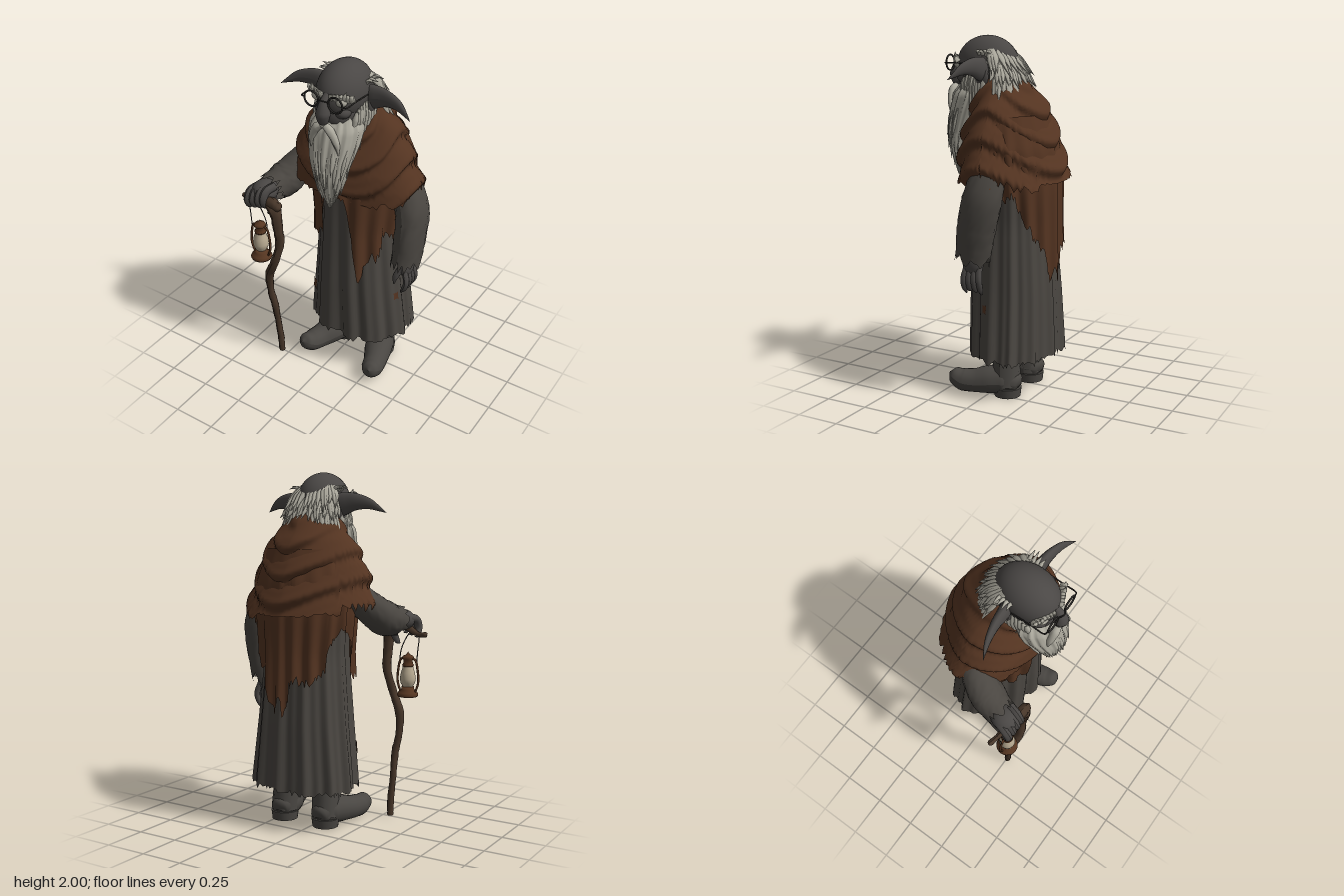
import * as THREE from 'three';

const mat = (name, color, side = THREE.FrontSide) => {
  const m = new THREE.MeshStandardMaterial({ color, side });
  m.name = name;
  return m;
};
const rnd = (i) => { const s = Math.sin(i * 127.1 + 11.7) * 43758.5453; return s - Math.floor(s); };
const lerpTable = (t, k) => {
  // rows sorted by first entry; returns the remaining entries at k
  let i = 0;
  while (i < t.length - 2 && k > t[i + 1][0]) i++;
  const f = Math.min(1, Math.max(0, (k - t[i][0]) / (t[i + 1][0] - t[i][0])));
  return t[i].map((v, j) => v + (t[i + 1][j] - v) * f).slice(1);
};

export function createModel() {
  const D = THREE.DoubleSide;
  const robeM = mat('robe cloth', 0x4a4641, D), shawlM = mat('shawl cloth', 0x543421, D);
  const skinM = mat('skin', 0x4a4745), hairM = mat('grey hair', 0xadaa9e, D);
  const bootM = mat('boot leather', 0x494642), woodM = mat('wood', 0x473629);
  const metalM = mat('rusty metal', 0x563621), glassM = mat('lantern glass', 0xb9ab92);
  const rimM = mat('spectacle wire', 0x2b2927);
  const root = new THREE.Group();
  root.name = 'oldWanderer';

  const add = (name, geo, m, pos = [0, 0, 0], scale = [1, 1, 1], parent = root) => {
    const mesh = new THREE.Mesh(geo, m);
    mesh.name = name;
    mesh.position.set(...pos);
    mesh.scale.set(...scale);
    parent.add(mesh);
    return mesh;
  };
  const ball = (name, m, pos, r) => add(name, new THREE.SphereGeometry(1, 28, 20), m, pos, r);

  // Draped sheet: u runs round the body from the front, v runs from top to hem
  const sheet = (name, m, nu, nv, fn, a0 = -Math.PI, a1 = Math.PI) => {
    const p = [], idx = [], closed = a1 - a0 > 6.28;
    for (let j = 0; j <= nv; j++) for (let i = 0; i <= nu; i++) {
      p.push(...fn(a0 + (a1 - a0) * i / nu, j / nv, closed ? i % nu : i));
    }
    for (let j = 0; j < nv; j++) for (let i = 0; i < nu; i++) {
      const a = j * (nu + 1) + i, c = closed && i === nu - 1 ? j * (nu + 1) : a + 1;
      idx.push(a, a + nu + 1, c, c, a + nu + 1, c + nu + 1);
    }
    const g = new THREE.BufferGeometry();
    g.setAttribute('position', new THREE.Float32BufferAttribute(p, 3));
    g.setIndex(idx);
    g.computeVertexNormals();
    return add(name, g, m);
  };
  // Point on a section table row [-y, centreX, halfWidth, zFront, zBack]; wedge > 1 makes the back
  // pointed, and widest (0 back, 1 front) tells where the section is widest
  const onSection = (table, y, a, grow = 0, wedge = 1, widest = 0.4) => {
    const [cx, hx, zf, zb] = lerpTable(table, -y);
    const s = Math.sin(a), c = Math.cos(a), mid = zf * widest + zb * (1 - widest), e = c < 0 ? wedge : 1;
    return [cx + (hx + grow) * Math.sign(s) * Math.abs(s) ** e, y,
      mid + (c > 0 ? zf - mid + grow : mid - zb + grow) * Math.sign(c) * Math.abs(c) ** e];
  };

  // Limb: tapered tube through [x, y, z, radius]; sc squashes the section, torn frays the last ring
  const limb = (name, m, pts, { seg = 20, rad = 12, sc = [1, 1, 1], torn = 0, floor = -9, lumps = 0, parent = root } = {}) => {
    const curve = new THREE.CatmullRomCurve3(pts.map((p) => new THREE.Vector3(...p)));
    curve.getPointAt = curve.getPoint;
    curve.getTangentAt = curve.getTangent;
    const g = new THREE.TubeGeometry(curve, seg, 1, rad), P = g.attributes.position;
    const radii = pts.map((p, i) => [i / (pts.length - 1), p[3]]), S = new THREE.Vector3(...sc);
    for (let j = 0; j <= seg; j++) {
      const c = curve.getPoint(j / seg), t = curve.getTangent(j / seg), r = lerpTable(radii, j / seg)[0];
      for (let i = 0; i <= rad; i++) {
        const k = j * (rad + 1) + i, v = new THREE.Vector3().fromBufferAttribute(P, k).sub(c);
        v.multiply(S).multiplyScalar(r * (1 + lumps * (rnd(j * 31 + i % rad) - 0.5))).add(c);
        if (j === seg) v.addScaledVector(t, torn * (rnd(i % rad * 7 + 3) - 0.4));
        P.setXYZ(k, v.x, Math.max(v.y, floor), v.z);
      }
    }
    g.computeVertexNormals();
    return add(name, g, m, [0, 0, 0], [1, 1, 1], parent);
  };

  // Robe with pleats, a front parting and a frayed hem
  const robeT = [[-1.72, .07, .1, .08, -.12], [-1.6, .07, .2, .12, -.22], [-1.4, .07, .25, .15, -.28],
    [-1, .07, .235, .165, -.28], [-.6, .07, .27, .175, -.31], [-.24, .07, .31, .17, -.325]];
  const robeAt = (a, v, drop, lift) => {
    const split = -0.045 * v * Math.exp(-((a / 0.1) ** 2));
    return onSection(robeT, 1.72 - 1.47 * v - drop, a, lift + v * 0.012 * (Math.sin(a * 11) + 0.6 * Math.sin(a * 23 + 1)) + split);
  };
  sheet('robe', robeM, 144, 26, (a, v, i) => robeAt(a, v, v === 1 ? 0.035 * rnd(i) : 0, 0));
  // Small worn brown patches on the robe: angle, height along the robe, half sizes
  for (const [a, v, da, dv] of [[-.97, .865, .07, .028], [1.25, .815, .05, .018]]) {
    sheet('robePatch', shawlM, 8, 5, (b, w, i) => robeAt(b, v + (w - .5) * 2 * dv * (.6 + .4 * rnd(i)), 0, .005), a - da, a + da);
  }

  // Ragged under layer of the shawl, hanging in strips
  const ragT = [[-1.6, .07, .23, .14, -.24], [-1.4, .07, .3, .19, -.31], [-1.2, .07, .29, .195, -.325],
    [-1, .07, .265, .195, -.325], [-.6, .07, .28, .2, -.335]];
  const ragHem = [[-180, .72], [-165, .84], [-150, .84], [-125, .98], [-105, 1.2], [-82, 1.1], [-70, .92], [-35, .9],
    [-20, .95], [-13, 1.2], [10, 1.2], [18, 1.0], [27, .7], [36, .78], [55, .95], [70, .95], [80, 1.15],
    [108, 1.2], [125, 1.0], [150, .88], [165, .7], [180, .72]];
  sheet('shawlRags', shawlM, 192, 18, (a, v, i) => {
    const hem = lerpTable(ragHem, a * 180 / Math.PI)[0] - 0.1 * rnd(Math.floor(i / 6) + 4) - 0.06 * rnd(i + 50) + 0.08;
    return onSection(ragT, 1.58 + (hem - 1.58) * v, a, 0.014 * Math.sin(a * 17) * v + 0.005, 1.1);
  });

  // Upper shawl with sweeping folds over both shoulders, dipping at front and back
  const capeT = [[-1.78, .07, .11, .1, -.12], [-1.74, .07, .16, .13, -.16], [-1.63, .065, .255, .16, -.25],
    [-1.5, .06, .33, .2, -.3], [-1.4, .06, .36, .225, -.33], [-1.3, .06, .395, .22, -.36], [-1.2, .06, .42, .2, -.38]];
  sheet('shawl', shawlM, 132, 40, (a, v, i) => {
    const hem = 1.27 - 0.05 * Math.cos(2 * a) + 0.02 * Math.sin(-a) - (0.05 * rnd(i) + .05 * rnd(Math.floor(i / 4))) * (1 - Math.cos(a) ** 4);
    const y = 1.77 + (hem - 1.77) * v, w = (y + 0.08 * Math.cos(2 * a) + 0.02 * Math.sin(a * 3)) * 42;
    return onSection(capeT, y, a, 0.015 * Math.min(1, v * 4) * (Math.sin(w) + 0.3 * Math.sin(2 * w)) - 0.006, 1.25, .52);
  });

  // Sleeves
  limb('leftSleeve', robeM, [[.24, 1.42, -.06, .07], [.34, 1.3, -.06, .095], [.41, 1.14, -.05, .112], [.42, .98, -.02, .108], [.415, .83, .005, .1]],
    { rad: 32, sc: [.78, 1, 1], torn: 0.08, lumps: .06 });
  limb('rightSleeve', robeM, [[-.17, 1.36, -.06, .08], [-.265, 1.26, .03, .09], [-.31, 1.19, .13, .1], [-.335, 1.17, .22, .085]],
    { rad: 32, torn: 0.07, lumps: .06 });

  // Left hand, hanging open
  ball('leftPalm', skinM, [.42, .8, 0], [.035, .08, .062]);
  for (let i = 0; i < 4; i++) {
    const z = -.05 + i * .032;
    limb('leftFinger', skinM, [[.425, .78, z * .8, .017], [.445, .71, z, .018], [.43, .66, z, .016], [.412, .63 + .01 * (i % 3), z, .006]], { seg: 10, rad: 8 });
  }
  limb('leftThumb', skinM, [[.41, .8, .04, .022], [.385, .74, .065, .018], [.38, .69, .07, .004]], { seg: 8, rad: 8 });

  // Right hand, gripping the crook
  ball('rightFist', skinM, [-.35, 1.17, .27], [.075, .06, .08]);
  for (let i = 0; i < 4; i++) {
    const x = -.42 + i * .036, y = i * .01 - .02;
    limb('rightFinger', skinM, [[x + .02, 1.2 + y, .26, .024], [x + .005, 1.19 + y, .32, .025], [x, 1.14 + y, .345, .022], [x, 1.1 + y, .325, .018], [x, 1.1 + y, .3, .005]], { seg: 14, rad: 8 });
  }
  limb('rightThumb', skinM, [[-.31, 1.16, .26, .025], [-.3, 1.09, .27, .022], [-.32, 1.04, .28, .016], [-.335, 1.03, .28, .003]], { seg: 10, rad: 8 });

  // Crooked staff with a cross handle
  limb('staff', woodM, [[-.3, 1.13, .315, .03], [-.25, 1.1, .325, .036], [-.235, .98, .32, .028], [-.235, .87, .31, .026], [-.27, .73, .325, .024], [-.32, .62, .31, .026],
    [-.325, .5, .3, .02], [-.305, .38, .29, .022], [-.305, .25, .27, .018], [-.295, .1, .26, .02], [-.295, .005, .255, .018], [-.295, 0, .255, .001]],
    { seg: 60, rad: 10, lumps: 0.18 });
  limb('staffHandle', woodM, [[-.51, 1.09, .275, .003], [-.5, 1.09, .277, .016], [-.44, 1.09, .29, .014], [-.36, 1.13, .305, .026], [-.27, 1.14, .32, .032], [-.22, 1.13, .325, .028], [-.2, 1.13, .325, .003]],
    { seg: 28, rad: 10, lumps: 0.15 });

  // Lantern
  const lantern = new THREE.Group();
  lantern.name = 'lantern';
  lantern.position.set(-.375, .72, .305);
  root.add(lantern);
  const lathe = (name, m, pts) => add(name, new THREE.LatheGeometry(pts.map((p) => new THREE.Vector2(...p)), 24), m, [0, 0, 0], [1, 1, 1], lantern);
  lathe('lanternBase', metalM, [[0, 0], [.058, 0], [.062, .01], [.055, .025], [.038, .04], [.036, .058], [0, .058]]);
  lathe('lanternGlass', glassM, [[.028, .055], [.042, .08], [.046, .105], [.04, .14], [.028, .18]]);
  lathe('lanternCap', metalM, [[0, .176], [.032, .176], [.034, .185], [.028, .19], [.026, .215], [.036, .222], [.03, .236], [.012, .244], [0, .262]]);
  for (const s of [-1, 1]) {
    limb('lanternSideRod', metalM, [[s * .045, .02, 0, .006], [s * .066, .08, 0, .007], [s * .062, .16, 0, .007], [s * .046, .215, 0, .007], [s * .015, .225, 0, .006]],
      { rad: 8, parent: lantern });
  }
  limb('lanternBail', rimM, [[-.055, .19, 0, .003], [-.06, .26, 0, .003], [-.07, .375, -.01, .003], [-.02, .38, 0, .003], [.02, .33, 0, .003], [.05, .25, 0, .003], [.05, .19, 0, .003]], { rad: 6, parent: lantern });

  // Legs and boots, toes turned outward
  for (const s of [-1, 1]) {
    const at = (dx, y, z, r) => [.075 + s * (.14 + dx), y, z, r];
    const side = s > 0 ? 'left' : 'right';
    limb(side + 'Leg', bootM, [at(-.01, .6, -.07, .075), at(-.01, .3, -.09, .07), at(-.005, .18, -.09, .076), at(0, .06, -.097, .08)]);
    limb(side + 'Boot', bootM, [at(-.005, .07, -.178, .002), at(-.004, .075, -.165, .05), at(0, .085, -.09, .085), at(.03, .08, 0, .083),
      at(.06, .07, .08, .07), at(.08, .075, .15, .064), at(.095, .1, .2, .045), at(.098, .11, .222, .002)], { seg: 32, rad: 18, floor: .015 });
    add(side + 'Heel', new THREE.CylinderGeometry(.08, .074, .05, 24), bootM, [.075 + s * .14, .025, -.099]);
  }

  // Head
  ball('skull', skinM, [.07, 1.84, .1], [.137, .16, .182]);
  ball('jaw', skinM, [.07, 1.745, .14], [.115, .12, .13]);
  limb('neck', skinM, [[.07, 1.78, .06, .09], [.07, 1.6, -.02, .1]]);
  limb('nose', skinM, [[.07, 1.88, .262, .018], [.07, 1.835, .292, .028], [.07, 1.785, .303, .04], [.07, 1.74, .298, .028], [.07, 1.725, .29, .002]], { rad: 14 });
  for (const s of [-1, 1]) {
    const X = (d) => .07 + s * d, side = s > 0 ? 'left' : 'right';
    ball(side + 'Cheek', skinM, [X(.06), 1.775, .215], [.045, .035, .045]);
    limb(side + 'Ear', skinM, [[X(.1), 1.81, .06, .07], [X(.16), 1.825, .065, .064], [X(.22), 1.835, .07, .05], [X(.3), 1.825, .085, .032], [X(.36), 1.795, .105, .013], [X(.395), 1.775, .12, .001]], { sc: [1, 1, .5], rad: 14 });
    ball(side + 'Earlobe', skinM, [X(.14), 1.78, .06], [.018, .055, .04]);
    // Bushy brows
    for (let i = 0; i < 7; i++) {
      const d = .025 + i * .016;
      limb(side + 'Brow', hairM, [[X(d), 1.855, .258 - i * .006, .018], [X(d + .006), 1.88, .278 - i * .007, .013], [X(d + .016), 1.87 + .04 * rnd(i), .288 - i * .01, .001]], { seg: 6, rad: 6 });
    }
    ball(side + 'Eye', hairM, [X(.07), 1.845, .245], [.034, .026, .025]);
    // Spectacles
    add(side + 'Rim', new THREE.TorusGeometry(.042, .005, 8, 32), rimM, [X(.072), 1.85, .3]);
    limb(side + 'Temple', rimM, [[X(.114), 1.85, .3, .004], [X(.133), 1.85, .295, .004], [X(.136), 1.85, .22, .004], [X(.138), 1.845, .1, .004]], { rad: 6 });
    // Moustache and sideburns
    limb(side + 'Moustache', hairM, [[X(.01), 1.72, .3, .018], [X(.04), 1.7, .303, .024], [X(.075), 1.63, .297, .018], [X(.085), 1.55, .29, .001]]);
    for (let i = 0; i < 8; i++) {
      const z = .04 + i * .02;
      limb(side + 'Sideburn', hairM, [[X(.125), 1.86 - .012 * i, z, .008], [X(.142 - .003 * i), 1.75 - .03 * rnd(i + 5), z + .01, .017], [X(.15 - .007 * i), 1.6 - .06 * rnd(i), z + .03, .001]], { seg: 10, rad: 7 });
    }
    // Loose wisps above the ears
    for (let i = 0; i < 4; i++) {
      limb(side + 'Wisp', hairM, [[X(.11), 1.89, .02 + i * .022, .014], [X(.135), 1.915, .02 + i * .022, .01], [X(.165 + .02 * rnd(i)), 1.905 + .02 * rnd(i + 3), .015 + i * .025, .001]], { seg: 6, rad: 6 });
    }
  }
  limb('spectacleBridge', rimM, [[.04, 1.855, .3, .004], [.07, 1.865, .318, .004], [.1, 1.855, .3, .004]], { rad: 6 });

  // Beard, strands running to a point
  const beardT = [[-1.75, .07, .11, .24, .1], [-1.68, .07, .15, .295, .08], [-1.6, .07, .145, .315, .12], [-1.5, .075, .12, .335, .17],
    [-1.4, .08, .09, .33, .22], [-1.3, .085, .05, .305, .25], [-1.22, .09, .006, .285, .27]];
  sheet('beard', hairM, 96, 24, (a, v) => onSection(beardT, 1.75 - .53 * v, a, 0.005 * (Math.sin(a * 15 + v * 3) + .6 * Math.sin(a * 26 - v * 2)) * (1 - v * 0.7)));
  for (let i = 0; i < 18; i++) {
    const a = -1.6 + 3.2 * i / 17, y = 1.64 - .2 * rnd(i + 9), q = onSection(beardT, y, a, -.008), e = onSection(beardT, y - .18, a, .012);
    limb('beardStrand', hairM, [[...q, .008], [(q[0] + e[0]) / 2, y - .08, (q[2] + e[2]) / 2, .012], [...e, .001]], { seg: 8, rad: 6 });
  }

  // Hair round the back of the bald crown
  const hairT = [[-1.94, .07, .09, .14, .01], [-1.88, .07, .135, .14, -.06], [-1.78, .07, .155, .14, -.115], [-1.66, .07, .165, .14, -.14]];
  sheet('backHair', hairM, 64, 10, (a, v, i) => {
    const y = 1.935 - .03 * Math.sin(a / 2 - Math.PI / 2) ** 2 - (v ? .25 * v - .04 * v * rnd(i) : .02 * rnd(i));
    return onSection(hairT, y, a, .006 * Math.sin(a * 19));
  }, Math.PI * .5, Math.PI * 1.5);
  for (let row = 0; row < 3; row++) for (let i = 0; i < 21; i++) {
    const a = Math.PI * (.5 + (i + rnd(i + row * 9)) / 21), y = 1.915 - row * .075, k = rnd(i + row * 20);
    const q = onSection(hairT, y, a, -.01), m = onSection(hairT, y - .05, a, .008), e = onSection(hairT, y - .08 - .06 * k, a + .15 * (k - .5), .012 + .03 * rnd(i + row));
    limb('hairTuft', hairM, [[...q, .018], [...m, .015], [...e, .001]], { seg: 6, rad: 6 });
  }
  return root;
}
